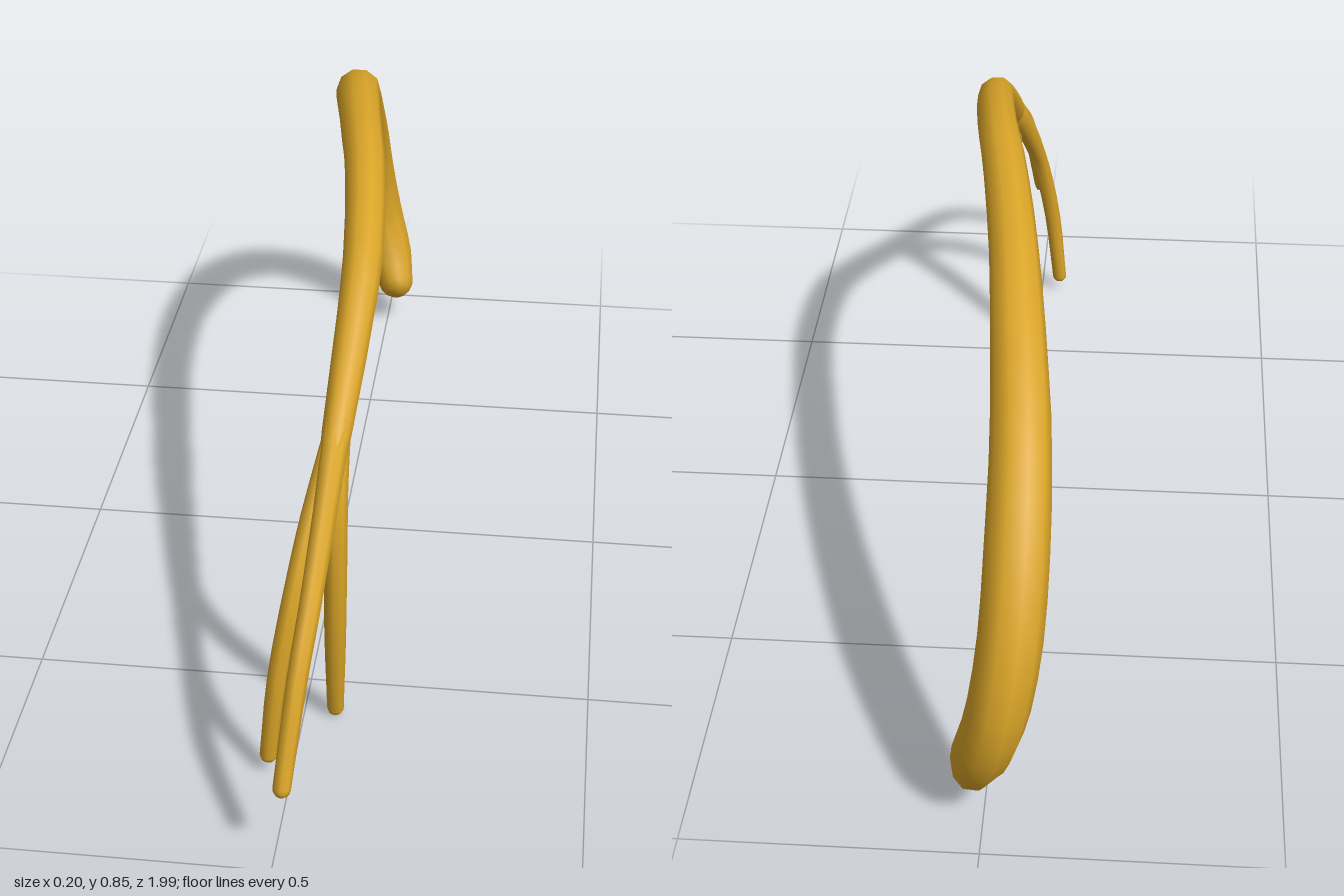
import * as THREE from 'three';

// Tapered tube with round ends; each stop is [x, y, z, sideRadius, planeRadius]
function taperedTube(stops, segments, sides) {
  const path = new THREE.CatmullRomCurve3(stops.map(s => new THREE.Vector3(s[0], s[1], s[2])), false, 'centripetal');
  const radii = new THREE.CatmullRomCurve3(stops.map(s => new THREE.Vector3(s[3], s[4], 0)), false, 'catmullrom', 0.3);
  const positions = [], indices = [];
  const rings = [];
  // Rounded start, body, rounded end: [t, offset along the tangent, scale]
  for (const a of [75, 50, 25]) rings.push([0, -Math.sin(a * Math.PI / 180), Math.cos(a * Math.PI / 180)]);
  for (let i = 0; i <= segments; i++) rings.push([i / segments, 0, 1]);
  for (const a of [25, 50, 75]) rings.push([1, Math.sin(a * Math.PI / 180), Math.cos(a * Math.PI / 180)]);

  const put = v => positions.push(v.x, v.y, v.z);
  const tip = (t, sign) => {
    const r = radii.getPoint(t);
    return path.getPoint(t).addScaledVector(path.getTangent(t), sign * Math.min(r.x, r.y));
  };
  for (const [t, offset, scale] of rings) {
    const r = radii.getPoint(t);
    const tangent = path.getTangent(t);
    const centre = path.getPoint(t).addScaledVector(tangent, offset * Math.min(r.x, r.y));
    const side = new THREE.Vector3(1, 0, 0).addScaledVector(tangent, -tangent.x).normalize();
    const normal = new THREE.Vector3().crossVectors(tangent, side);
    for (let j = 0; j < sides; j++) {
      const a = j / sides * Math.PI * 2;
      put(centre.clone()
        .addScaledVector(side, Math.cos(a) * r.x * scale)
        .addScaledVector(normal, Math.sin(a) * r.y * scale));
    }
  }
  const first = rings.length * sides, last = first + 1, end = (rings.length - 1) * sides;
  put(tip(0, -1));
  put(tip(1, 1));
  for (let j = 0; j < sides; j++) {
    const k = (j + 1) % sides;
    for (let i = 0; i < rings.length - 1; i++) {
      const p = i * sides, q = p + sides;
      indices.push(p + j, p + k, q + j, p + k, q + k, q + j);
    }
    indices.push(first, k, j, last, end + j, end + k);
  }
  const geometry = new THREE.BufferGeometry();
  geometry.setAttribute('position', new THREE.Float32BufferAttribute(positions, 3));
  geometry.setIndex(indices);
  geometry.computeVertexNormals();
  return geometry;
}

export function createModel() {
  const model = new THREE.Group();
  model.name = 'branchingArch';
  const gold = new THREE.MeshStandardMaterial({ color: 0xdaa528 });
  gold.name = 'gold';

  const add = (name, stops, segments, sides) => {
    const mesh = new THREE.Mesh(taperedTube(stops, segments, sides), gold);
    mesh.name = name;
    model.add(mesh);
  };

  // Thick curled end, over the arch, down to the fork
  add('arch', [
    [0.018, 0.10, -0.885, 0.040, 0.054],
    [0.000, 0.16, -0.918, 0.050, 0.059],
    [-0.025, 0.25, -0.936, 0.052, 0.062],
    [-0.045, 0.38, -0.908, 0.053, 0.059],
    [-0.051, 0.51, -0.828, 0.053, 0.056],
    [-0.048, 0.63, -0.700, 0.050, 0.052],
    [-0.033, 0.72, -0.540, 0.046, 0.045],
    [-0.013, 0.782, -0.360, 0.042, 0.040],
    [0.020, 0.810, -0.120, 0.039, 0.039],
    [0.043, 0.802, 0.030, 0.037, 0.039],
    [0.065, 0.745, 0.270, 0.035, 0.036],
    [0.063, 0.670, 0.410, 0.031, 0.032],
    [0.055, 0.575, 0.550, 0.026, 0.032],
    [0.052, 0.535, 0.610, 0.022, 0.028]
  ], 30, 10);

  // Three thin prongs
  add('frontProng', [
    [0.055, 0.580, 0.550, 0.024, 0.026],
    [0.050, 0.490, 0.690, 0.020, 0.025],
    [0.042, 0.395, 0.830, 0.018, 0.022],
    [0.032, 0.315, 0.900, 0.017, 0.020],
    [0.016, 0.155, 0.978, 0.015, 0.015]
  ], 12, 8);
  add('middleProng', [
    [0.052, 0.560, 0.570, 0.022, 0.026],
    [0.025, 0.460, 0.655, 0.020, 0.025],
    [0.002, 0.350, 0.720, 0.018, 0.021],
    [-0.023, 0.200, 0.754, 0.017, 0.017],
    [-0.040, 0.036, 0.760, 0.015, 0.012]
  ], 12, 8);
  add('rearProng', [
    [0.056, 0.580, 0.555, 0.022, 0.025],
    [0.058, 0.490, 0.605, 0.021, 0.025],
    [0.060, 0.390, 0.624, 0.020, 0.024],
    [0.058, 0.200, 0.617, 0.019, 0.022],
    [0.055, 0.016, 0.592, 0.015, 0.015]
  ], 12, 8);

  return model;
}
